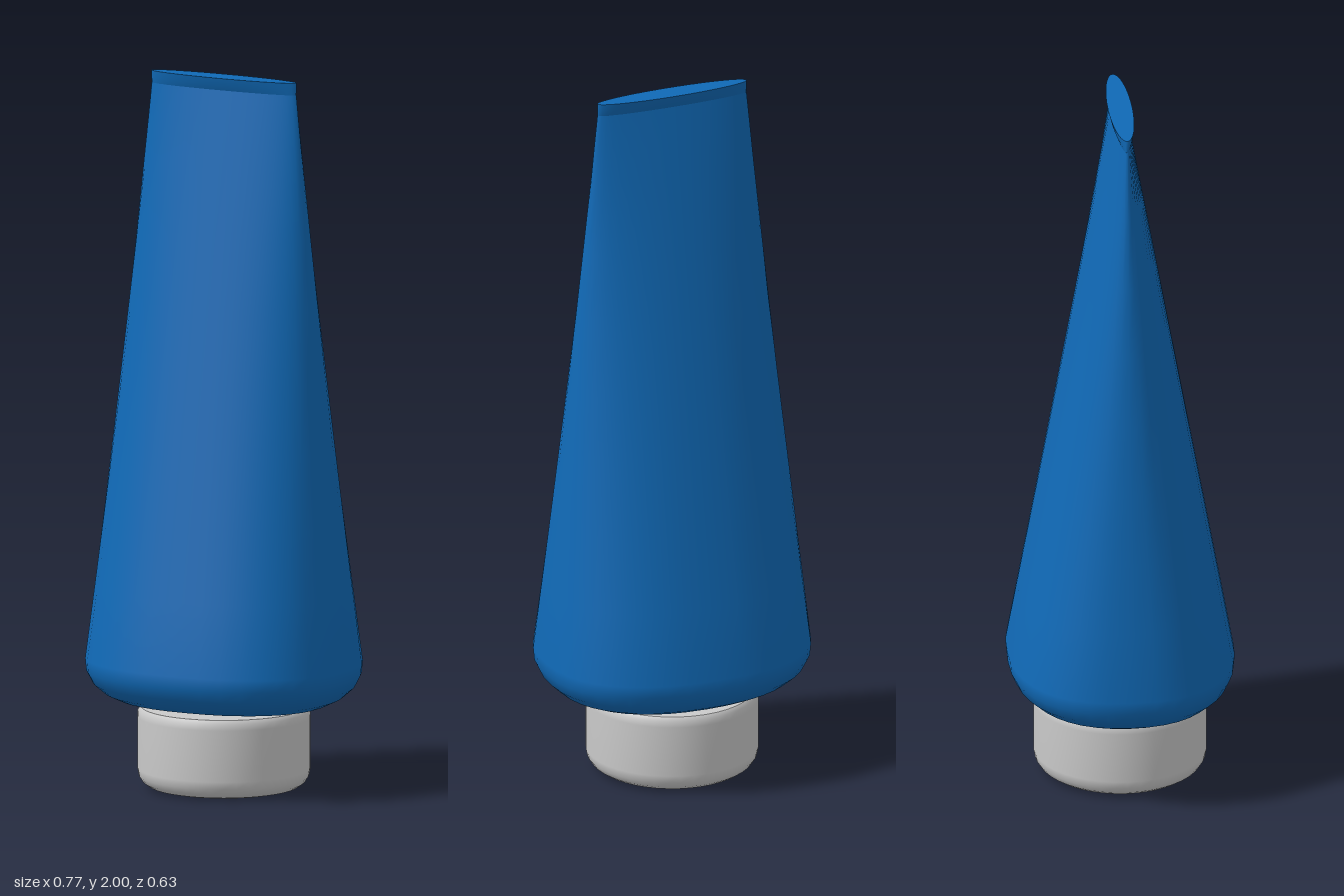
import * as THREE from 'three';

const SEGMENTS = 40;

// Closed loft through rings [y, halfWidth, halfDepth, squareness], bottom to top
function loft(rings) {
  const pos = [], idx = [];
  const bend = (v, n) => Math.sign(v) * Math.pow(Math.abs(v), 2 / n);
  const addRing = ([y, rx, rz, n]) => {
    const start = pos.length / 3;
    for (let i = 0; i < SEGMENTS; i++) {
      const a = (i / SEGMENTS) * Math.PI * 2;
      pos.push(rx * bend(Math.cos(a), n), y, rz * bend(Math.sin(a), n));
    }
    return start;
  };
  const starts = rings.map(addRing);
  for (let r = 0; r < rings.length - 1; r++) {
    for (let i = 0; i < SEGMENTS; i++) {
      const j = (i + 1) % SEGMENTS;
      const a = starts[r] + i, b = starts[r] + j;
      const c = starts[r + 1] + i, d = starts[r + 1] + j;
      idx.push(a, c, b, b, c, d);
    }
  }
  // Flat ends with their own vertices keep the rims sharp
  [[rings[0], false], [rings[rings.length - 1], true]].forEach(([ring, top]) => {
    const s = addRing(ring), centre = pos.length / 3;
    pos.push(0, ring[0], 0);
    for (let i = 0; i < SEGMENTS; i++) {
      const a = s + i, b = s + (i + 1) % SEGMENTS;
      if (top) idx.push(centre, b, a);
      else idx.push(centre, a, b);
    }
  });
  const g = new THREE.BufferGeometry();
  g.setAttribute('position', new THREE.Float32BufferAttribute(pos, 3));
  g.setIndex(idx);
  g.computeVertexNormals();
  return g;
}

export function createModel() {
  const blue = new THREE.MeshStandardMaterial({ color: 0x1069b6 });
  blue.name = 'tube blue';
  const grey = new THREE.MeshStandardMaterial({ color: 0xcacaca });
  grey.name = 'cap grey';

  const model = new THREE.Group();
  model.name = 'squeezeTube';
  const add = (name, geometry, material) => {
    const mesh = new THREE.Mesh(geometry, material);
    mesh.name = name;
    model.add(mesh);
  };

  // Body: rounded shoulder, then a straight taper to a flat pinched end
  const rings = [
    [0.238, 0.26, 0.2, 2.2],
    [0.245, 0.3, 0.235, 2.25],
    [0.262, 0.335, 0.268, 2.3],
    [0.29, 0.365, 0.297, 2.35],
    [0.325, 0.381, 0.312, 2.4],
    [0.36, 0.384, 0.315, 2.4],
  ];
  for (let k = 1; k <= 8; k++) {
    const t = k / 8, mix = (a, b) => a + (b - a) * t;
    rings.push([mix(0.36, 1.965), mix(0.384, 0.226), mix(0.315, 0.022), mix(2.4, 2)]);
  }
  add('tubeBody', loft(rings), blue);

  // Sealed crimp flaring slightly to the flat end
  add('crimpedEnd', loft([
    [1.962, 0.225, 0.021, 2],
    [1.98, 0.226, 0.029, 2],
    [2.0, 0.226, 0.034, 2],
  ]), blue);

  // Neck hidden between the shoulder and the cap
  const neck = new THREE.CylinderGeometry(0.14, 0.14, 0.06, 24);
  neck.translate(0, 0.22, 0);
  add('neck', neck, blue);

  // Cap with a rounded bottom and a small chamfered rim
  add('cap', loft([
    [0, 0.185, 0.185, 2],
    [0.005, 0.207, 0.207, 2],
    [0.017, 0.225, 0.225, 2],
    [0.034, 0.236, 0.236, 2],
    [0.055, 0.24, 0.24, 2],
    [0.2, 0.24, 0.24, 2],
    [0.218, 0.239, 0.239, 2],
    [0.228, 0.23, 0.23, 2],
  ]), grey);

  return model;
}
